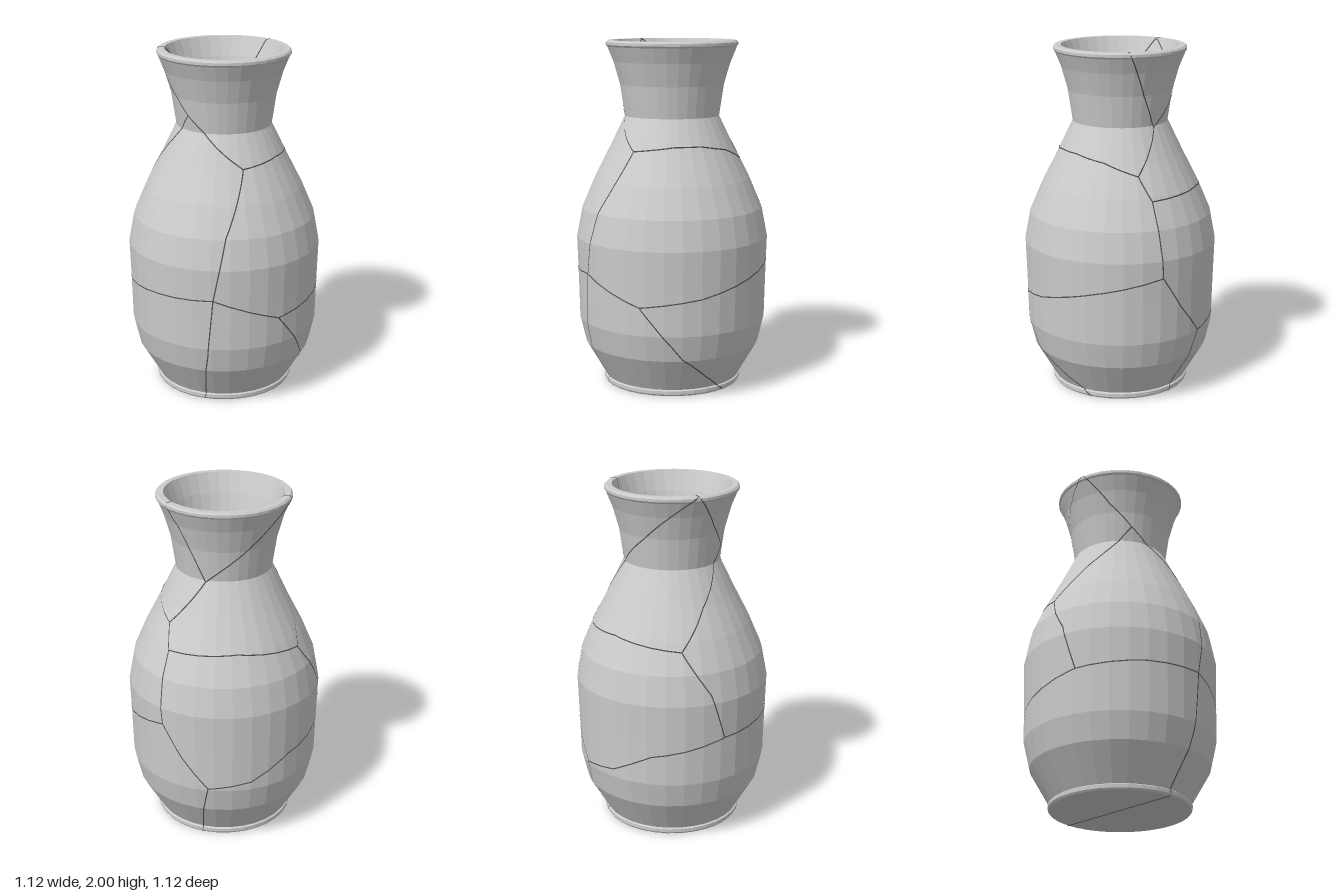
import * as THREE from 'three';

const SIDES = 32;
// Profiles as [radius, height], from bottom to top
const OUTER = [[0.395, 0.002], [0.402, 0.012], [0.402, 0.032], [0.393, 0.038], [0.51, 0.24], [0.545, 0.39],
  [0.551, 0.64], [0.558, 0.87], [0.525, 1.04], [0.452, 1.21], [0.36, 1.39], [0.273, 1.57],
  [0.3, 1.75], [0.337, 1.88], [0.372, 1.965], [0.38, 1.975], [0.38, 1.99], [0.37, 2]];
const INNER = [[0.35, 0.05], [0.465, 0.25], [0.5, 0.39], [0.506, 0.64], [0.512, 0.87], [0.48, 1.03],
  [0.407, 1.19], [0.315, 1.38], [0.23, 1.57], [0.256, 1.75], [0.295, 1.89], [0.337, 2]];

// Crack junctions as [angle in degrees (0 = front, 90 = +x), height]
const N = {
  rimLeft: [-75, 2], rimBack: [152, 2], neckFront: [-25, 1.66], neckBack: [187, 1.56],
  shoulderFront: [36, 1.39], shoulderBack: [159, 1.32], upperBack: [167, 1.19], upperLeft: [-91, 1.16],
  midBack: [170, 0.77], midFront: [12.5, 0.69], midLeft: [-65, 0.65], lowFront: [53, 0.55],
  lowBack: [199, 0.4], footFront: [3, 0.002], footBack: [190, 0.002], footSide: [120, 0.002],
};
const CRACKS = [
  [N.neckFront, [-50, 1.8], N.rimLeft],
  [N.neckFront, [5, 1.53], N.shoulderFront],
  [N.neckFront, [-40, 1.57], [-70, 1.37], N.upperLeft],
  [N.neckBack, [231, 1.74], [285, 2]],
  [N.neckBack, [170, 1.75], N.rimBack],
  [N.neckBack, [173, 1.44], N.shoulderBack],
  [N.shoulderFront, [75, 1.42], [100, 1.42], [130, 1.39], N.shoulderBack],
  [N.shoulderBack, N.upperBack],
  [N.upperBack, [218, 1.21], [269, 1.16]],
  [N.upperBack, N.midBack],
  [N.upperLeft, [-74, 0.92], N.midLeft],
  [N.shoulderFront, [20, 1.05], N.midFront],
  [N.midLeft, [-25, 0.68], N.midFront],
  [N.midFront, N.lowFront],
  [N.lowFront, [90, 0.6], [130, 0.69], N.midBack],
  [N.midBack, [183, 0.58], N.lowBack],
  [N.lowBack, [225, 0.44], [250, 0.56], [272, 0.6], [295, 0.65]],
  [N.midFront, [9, 0.34], N.footFront],
  [N.lowFront, [79, 0.25], [98, 0.12], N.footSide],
  [N.lowBack, N.footBack],
];

// Radius of the faceted wall at an angle (radians) and height
function wallRadius(profile, angle, y) {
  let i = 0;
  while (i < profile.length - 2 && y > profile[i + 1][1]) i++;
  const [r0, y0] = profile[i], [r1, y1] = profile[i + 1];
  const r = THREE.MathUtils.lerp(r0, r1, (y - y0) / (y1 - y0));
  const step = 2 * Math.PI / SIDES;
  const inFacet = THREE.MathUtils.euclideanModulo(angle, step) - step / 2;
  return r * Math.cos(step / 2) / Math.cos(inFacet);
}

// Thin ribbon lying on the wall along one crack
function crackGeometry(path, profile, lift) {
  const points = [];
  for (let i = 0; i < path.length - 1; i++) {
    const [a0, y0] = path[i], [a1, y1] = path[i + 1];
    const steps = Math.ceil(Math.max(Math.abs(a1 - a0) / 2, Math.abs(y1 - y0) / 0.02));
    for (let k = i ? 1 : 0; k <= steps; k++) {
      const a = THREE.MathUtils.degToRad(THREE.MathUtils.lerp(a0, a1, k / steps));
      const y = THREE.MathUtils.lerp(y0, y1, k / steps);
      if (y < profile[0][1]) continue;
      const r = wallRadius(profile, a, y) + lift;
      points.push(new THREE.Vector3(r * Math.sin(a), y, r * Math.cos(a)));
    }
  }
  const positions = [], index = [];
  points.forEach((p, i) => {
    const along = points[Math.min(i + 1, points.length - 1)].clone().sub(points[Math.max(i - 1, 0)]);
    const side = along.cross(new THREE.Vector3(p.x, 0, p.z)).setLength(0.0035);
    for (const s of [-1, 1]) {
      const q = p.clone().addScaledVector(side, s);
      positions.push(q.x, THREE.MathUtils.clamp(q.y, 0, 2), q.z);
    }
    if (i) index.push(2 * i - 2, 2 * i - 1, 2 * i, 2 * i, 2 * i - 1, 2 * i + 1);
  });
  const geometry = new THREE.BufferGeometry();
  geometry.setAttribute('position', new THREE.Float32BufferAttribute(positions, 3));
  geometry.setIndex(index);
  geometry.computeVertexNormals();
  return geometry;
}

export function createModel() {
  const group = new THREE.Group();
  const clay = new THREE.MeshStandardMaterial({ color: 0xcccccc, flatShading: true });
  const dark = new THREE.MeshStandardMaterial({ color: 0x555555, side: THREE.DoubleSide });
  const add = (name, geometry, material, parent = group) => {
    const mesh = new THREE.Mesh(geometry, material);
    mesh.name = name;
    parent.add(mesh);
    return mesh;
  };

  // Hollow vase: underside, outer wall, rim, inner wall, floor
  const outline = [[0, 0.002], ...OUTER, ...[...INNER].reverse(), [0, 0.05]];
  add('vaseBody', new THREE.LatheGeometry(outline.map(([r, y]) => new THREE.Vector2(r, y)), SIDES), clay);

  // Cracks on both faces of the wall
  const cracks = new THREE.Group();
  cracks.name = 'cracks';
  group.add(cracks);
  for (const path of CRACKS) {
    add('outerCrack', crackGeometry(path, OUTER, 0.002), dark, cracks);
    add('innerCrack', crackGeometry(path, INNER, -0.002), dark, cracks);
  }

  // Crack running straight across the underside and the floor
  for (const [name, y, length] of [['undersideCrack', 0.001, 0.785], ['floorCrack', 0.051, 0.69]]) {
    const strip = add(name, new THREE.BoxGeometry(0.007, 0.002, length), dark, cracks);
    strip.position.set(-0.023, y, 0);
    strip.rotation.y = 0.115;
  }

  // Cracks over the flat of the rim
  for (const [angle] of [N.rimLeft, N.rimBack]) {
    const a = THREE.MathUtils.degToRad(angle);
    const notch = add('rimCrack', new THREE.BoxGeometry(0.007, 0.002, 0.035), dark, cracks);
    notch.position.set(0.353 * Math.sin(a), 2, 0.353 * Math.cos(a));
    notch.rotation.y = a;
  }
  return group;
}
